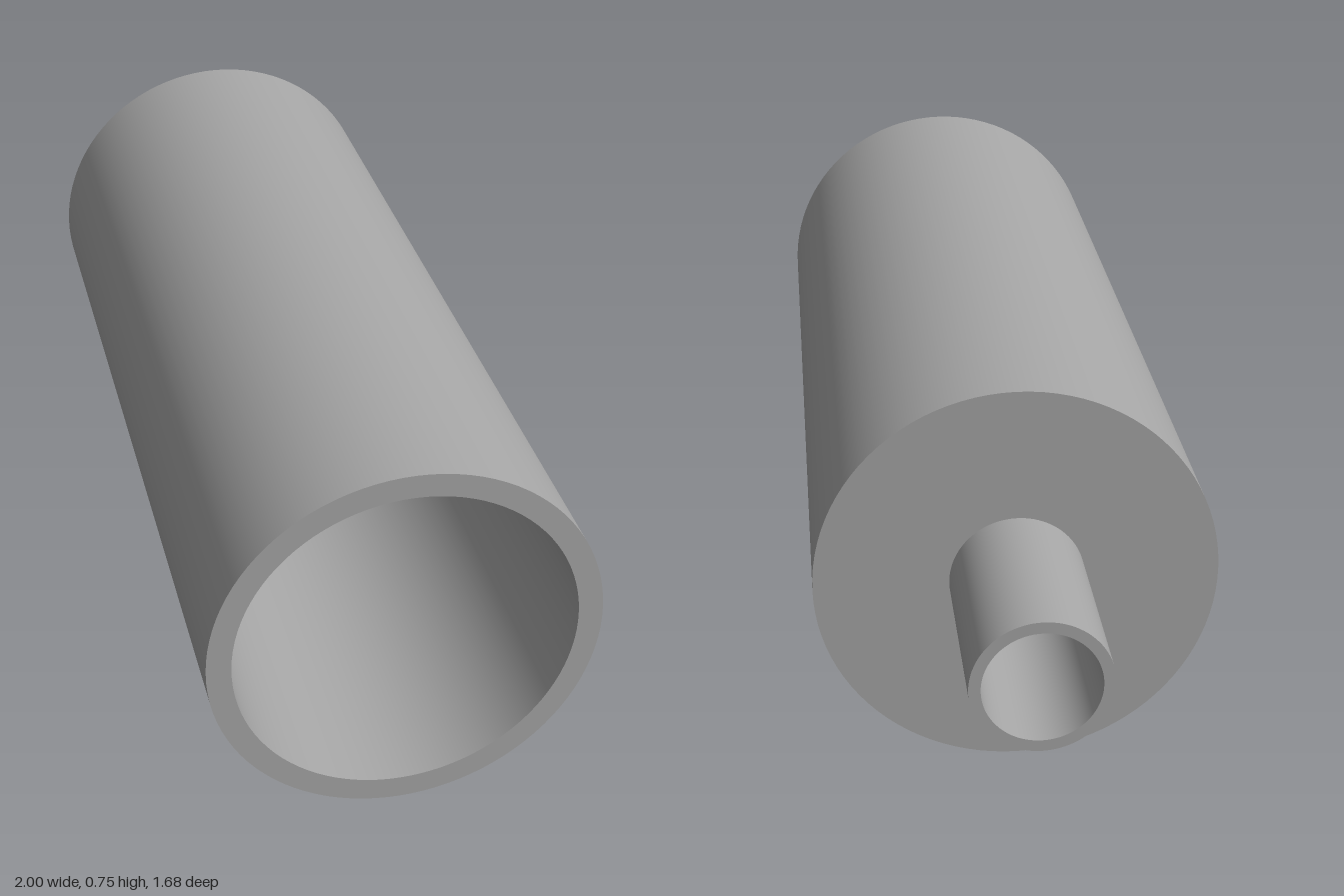
import * as THREE from 'three';
import { mergeGeometries } from 'three/addons/utils/BufferGeometryUtils.js';

// Revolve each profile segment on its own so the rims stay sharp and the walls smooth
function revolve(profile) {
  const bands = [];
  for (let i = 0; i < profile.length - 1; i++) {
    const ends = [profile[i], profile[i + 1]].map(([r, y]) => new THREE.Vector2(r, y));
    bands.push(new THREE.LatheGeometry(ends, 96));
  }
  return mergeGeometries(bands);
}

export function createModel() {
  const model = new THREE.Group();
  model.name = 'hollowCylinderWithSpout';
  const grey = new THREE.MeshStandardMaterial({ color: 0xa6a6a6 });
  grey.name = 'grey';

  const pipeR = 0.125, pipeBore = 0.104, pipeLength = 0.375;
  const bodyR = 0.375, bodyBore = 0.328, total = 2.125, floor = pipeLength + 0.047;

  // Narrow open pipe, its bore running through the end wall of the body
  const pipe = new THREE.Mesh(revolve([
    [pipeBore, floor], [pipeBore, 0], [pipeR, 0], [pipeR, pipeLength],
  ]), grey);
  pipe.name = 'pipe';

  // Wide body: end wall, outer wall, open rim, inner wall and inner floor
  const body = new THREE.Mesh(revolve([
    [pipeR, pipeLength], [bodyR, pipeLength], [bodyR, total],
    [bodyBore, total], [bodyBore, floor], [pipeBore, floor],
  ]), grey);
  body.name = 'body';

  // Lay the axis flat, turned towards the front left
  const axis = new THREE.Vector3(0.798, 0, 0.602).normalize();
  const assembly = new THREE.Group();
  assembly.name = 'assembly';
  assembly.add(pipe, body);
  assembly.quaternion.setFromUnitVectors(new THREE.Vector3(0, 1, 0), axis);
  assembly.position.set(0.775, bodyR, 0.542).addScaledVector(axis, -total);
  model.add(assembly);
  return model;
}
